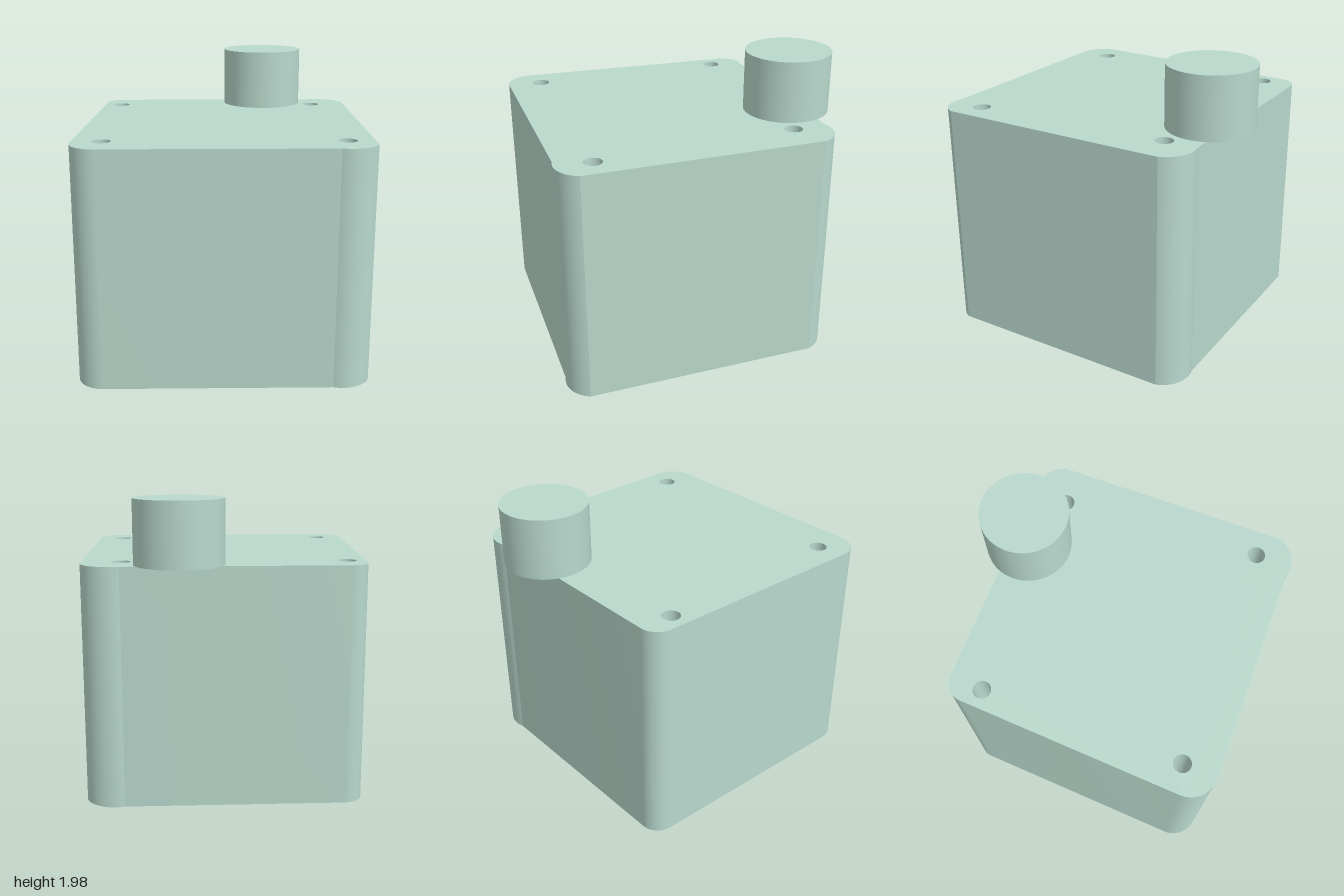
import * as THREE from 'three';
import { toCreasedNormals } from 'three/addons/utils/BufferGeometryUtils.js';

const BODY_HEIGHT = 1.565;
const TOP = 1.975;

export function createModel() {
  const group = new THREE.Group();
  const material = new THREE.MeshStandardMaterial({ color: 0xb8d8cc });

  // Plan outline, drawn with shape y = -z: one arc per rounded corner
  const PI = Math.PI;
  const corners = [
    // x, z, radius, start angle, end angle
    [0.75, -0.63, 0.2, 0.315, PI / 2 + 0.315],
    [-0.74, -0.69, 0.13, PI / 2, PI],
    [-0.77, 0.81, 0.175, PI, 1.5 * PI],
    [0.76, 0.8, 0.195, 1.5 * PI - 0.32, 2 * PI - 0.395],
  ];
  const plan = new THREE.Shape();
  for (const [x, z, r, a, b] of corners) plan.absarc(x, -z, r, a, b, false);
  plan.closePath();

  // Four through holes for screws
  for (const [x, z] of [[-0.755, -0.595], [0.69, -0.595], [-0.755, 0.755], [0.77, 0.755]]) {
    plan.holes.push(new THREE.Path().absarc(x, -z, 0.059, 0, 2 * PI, true));
  }

  const bodyGeometry = new THREE.ExtrudeGeometry(plan, {
    depth: BODY_HEIGHT, bevelEnabled: false, curveSegments: 24,
  });
  bodyGeometry.rotateX(-PI / 2);
  const body = new THREE.Mesh(toCreasedNormals(bodyGeometry, 0.25), material);
  body.name = 'body';
  group.add(body);

  // Round post overhanging the back edge
  const height = TOP - BODY_HEIGHT;
  const post = new THREE.Mesh(new THREE.CylinderGeometry(0.287, 0.287, height, 64), material);
  post.name = 'post';
  post.position.set(0.32, BODY_HEIGHT + height / 2, -0.713);
  group.add(post);

  return group;
}
